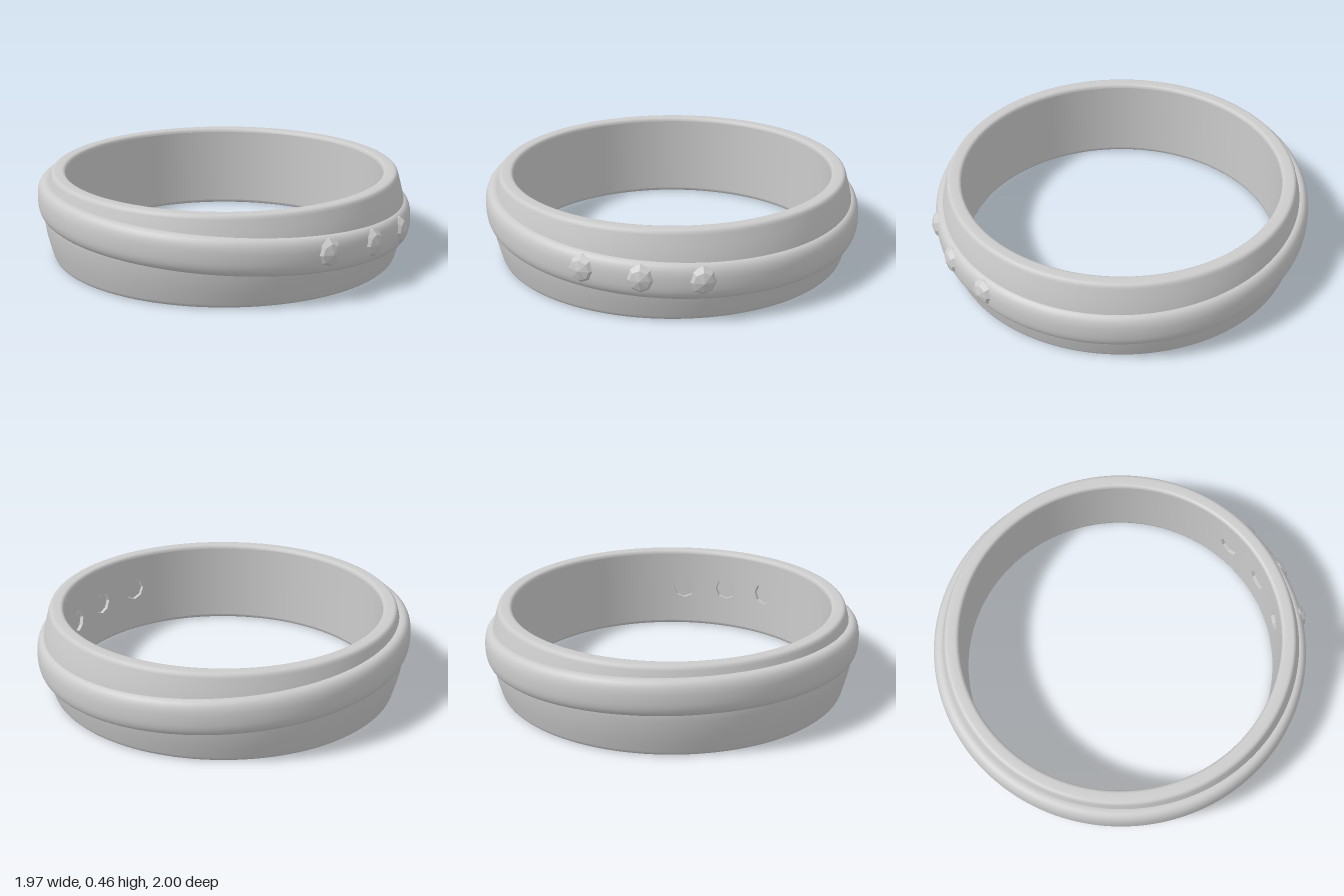
import * as THREE from 'three';
import { ParametricGeometry } from 'three/addons/geometries/ParametricGeometry.js';

const INNER = 0.838;                 // finger-hole radius
const LOW = 0.02, HIGH = 0.44;       // extent of the straight inner wall
const ARC = 0.45;                    // half angle of the pierced wall at the front
const GEM_ANGLES = [-0.3, 0, 0.3];
const HOLE = 0.06;

// Height of the tilted raised band above a point of the ring
const bandHeight = (x, z) => 0.267 - 0.041 * (x + z);

const points = (list) => list.map(([x, y]) => new THREE.Vector2(x, y));

export function createModel() {
  const ring = new THREE.Group();
  ring.name = 'ring';
  ring.position.z = -0.012;

  const grey = new THREE.MeshStandardMaterial({ color: 0xcccccc });
  const greyDouble = new THREE.MeshStandardMaterial({ color: 0xcccccc, side: THREE.DoubleSide });
  const facet = new THREE.MeshStandardMaterial({ color: 0xcccccc, flatShading: true });

  const add = (name, geometry, material, parent = ring) => {
    const mesh = new THREE.Mesh(geometry, material);
    mesh.name = name;
    parent.add(mesh);
    return mesh;
  };

  // Outer shell: rounded rims and gently bulging sides
  const shell = points([
    [INNER, LOW], [0.840, 0.010], [0.846, 0.003], [0.856, 0],
    [0.893, 0], [0.904, 0.003], [0.911, 0.010], [0.916, 0.022],
    [0.932, 0.08], [0.947, 0.14], [0.955, 0.20], [0.957, 0.23],
    [0.955, 0.26], [0.947, 0.32], [0.932, 0.38], [0.916, 0.438],
    [0.911, 0.450], [0.904, 0.457], [0.893, 0.46], [0.856, 0.46],
    [0.846, 0.457], [0.840, 0.450], [INNER, HIGH],
  ]);
  add('shell', new THREE.LatheGeometry(shell, 128), grey);

  // Plain inner wall, open at the front where the stones are set
  add('innerWall', new THREE.LatheGeometry(
    points([[INNER, HIGH], [INNER, LOW]]), 112, ARC, Math.PI * 2 - 2 * ARC), grey);

  // Raised band: flattened rounded section, sheared so that it runs at a slant
  const section = [];
  const squash = (v) => Math.sign(v) * Math.abs(v) ** 0.8;
  for (let i = 0; i <= 32; i++) {
    const a = -Math.PI + (i / 32) * Math.PI * 2;
    section.push([0.935 + 0.052 * squash(Math.cos(a)), 0.093 * squash(Math.sin(a))]);
  }
  const band = new THREE.LatheGeometry(points(section), 128);
  const p = band.attributes.position;
  for (let i = 0; i < p.count; i++) {
    p.setY(i, p.getY(i) + bandHeight(p.getX(i), p.getZ(i)));
  }
  add('raisedBand', band, grey);

  // Faceted stone: flat back, widening pavilion, girdle, low crown
  const stone = new THREE.LatheGeometry(points([
    [0, 0.855], [HOLE - 0.001, 0.855], [0.074, 0.955], [0.074, 0.972],
    [0.05, 0.998], [0, 1.012],
  ]), 8).rotateX(Math.PI / 2);
  const socket = new THREE.CylinderGeometry(HOLE, HOLE, 0.022, 8, 1, true)
    .translate(0, 0.848, 0).rotateX(Math.PI / 2);
  const socketMaterial = new THREE.MeshStandardMaterial({
    color: 0xcccccc, flatShading: true, side: THREE.DoubleSide });

  GEM_ANGLES.forEach((angle, n) => {
    const y0 = bandHeight(0.95 * Math.sin(angle), 0.95 * Math.cos(angle)) + 0.01;
    const setting = new THREE.Group();
    setting.name = ['rightSetting', 'centreSetting', 'leftSetting'][n];
    setting.rotation.y = angle;
    ring.add(setting);

    add('stone', stone, facet, setting).position.y = y0;
    add('socket', socket, socketMaterial, setting).position.y = y0;

    // Curved wall panel running from the octagonal hole to a rectangle
    const panel = (u, v, target) => {
      const a = u * Math.PI * 2;
      const c = Math.cos(a), s = Math.sin(a);
      const step = Math.PI / 4;
      const k = a - Math.floor(a / step + 1e-6) * step - step / 2;
      const r = HOLE * Math.cos(step / 2) / Math.cos(k);
      const m = Math.max(Math.abs(c), Math.abs(s));
      const outX = (c / m) * (ARC / 3) * INNER;
      const outY = (LOW + HIGH) / 2 + (s / m) * (HIGH - LOW) / 2;
      const t = THREE.MathUtils.lerp(r * c, outX, v) / INNER;
      target.set(INNER * Math.sin(t), THREE.MathUtils.lerp(y0 + r * s, outY, v), INNER * Math.cos(t));
    };
    add('innerPanel', new ParametricGeometry(panel, 32, 4), greyDouble, setting);
  });

  const model = new THREE.Group();
  model.name = 'model';
  model.add(ring);
  return model;
}
